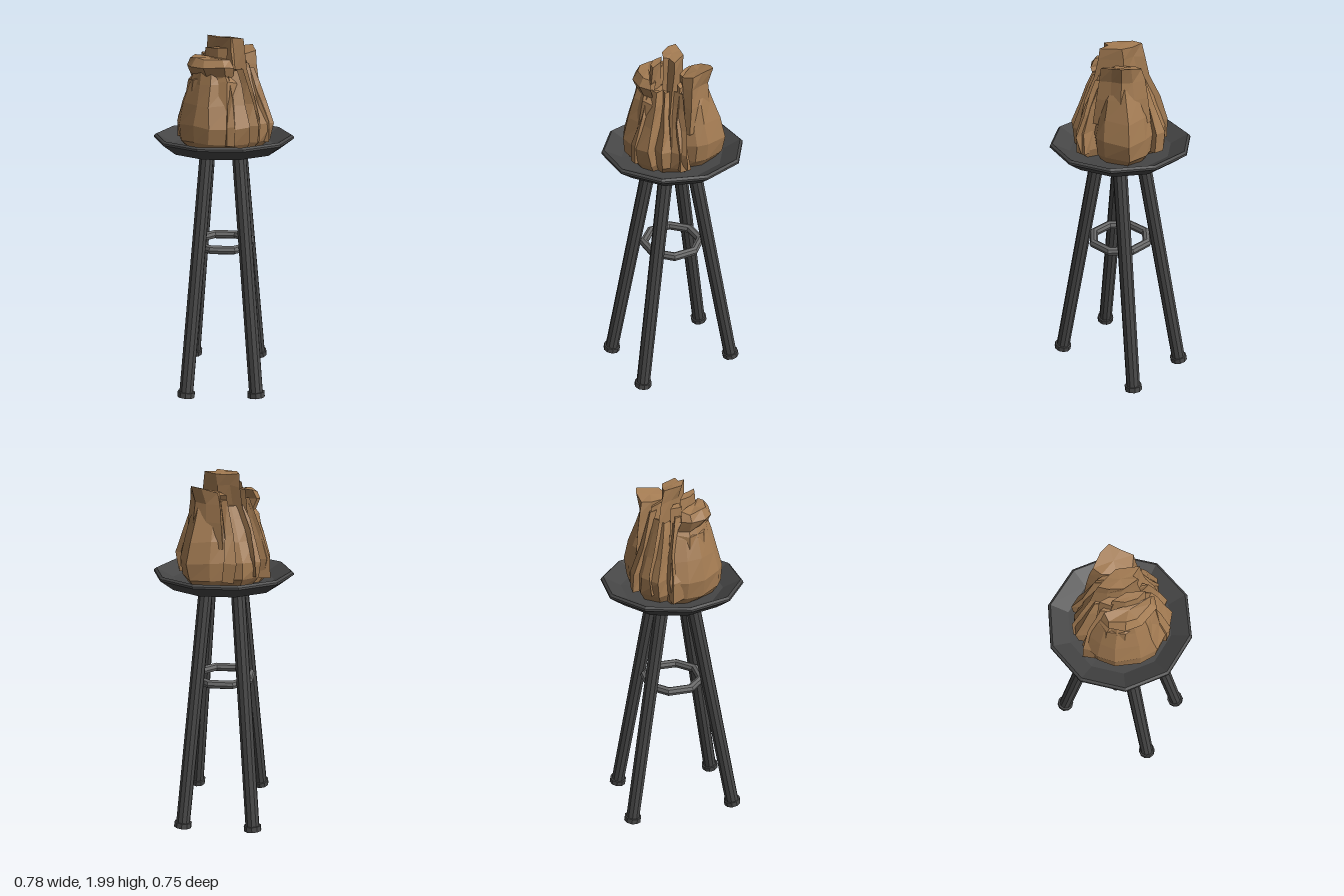
import * as THREE from 'three';

const mat = (color) => new THREE.MeshStandardMaterial({ color, flatShading: true, side: THREE.DoubleSide });
const dark = mat(0x464646), grey = mat(0x686868), paper = mat(0xa37b52);

// Small repeatable noise in -1..1, for crumpling
const noise = (n) => {
  const s = Math.sin(n * 127.1 + 3.7) * 43758.5453;
  return (s - Math.floor(s)) * 2 - 1;
};

function add(parent, name, geometry, material) {
  const mesh = new THREE.Mesh(geometry, material);
  mesh.name = name;
  parent.add(mesh);
  return mesh;
}

// Closed loft: one outline [x, z], repeated over rows [y, scaleX, scaleZ, shiftX, shiftZ].
// shape(x, z, row, index) may move each point and returns [x, y, z].
function loft(outline, rows, shape) {
  const n = outline.length, pos = [], idx = [];
  rows.forEach(([y, sx, sz, dx = 0, dz = 0], r) => outline.forEach(([x, z], i) => {
    pos.push(...shape(x * sx + dx, y, z * sz + dz, r, i));
  }));
  for (let r = 0; r < rows.length - 1; r++) {
    for (let i = 0; i < n; i++) {
      const a = r * n + i, b = r * n + (i + 1) % n;
      idx.push(a, a + n, b, b, a + n, b + n);
    }
  }
  // End caps meet at the middle of the first and last rings
  [0, rows.length - 1].forEach((r) => {
    const c = pos.length / 3, m = [0, 0, 0];
    for (let i = 0; i < n; i++) for (let k = 0; k < 3; k++) m[k] += pos[(r * n + i) * 3 + k] / n;
    pos.push(...m);
    for (let i = 0; i < n; i++) {
      const a = r * n + i, b = r * n + (i + 1) % n;
      if (r) idx.push(a, c, b); else idx.push(b, c, a);
    }
  });
  const g = new THREE.BufferGeometry();
  g.setAttribute('position', new THREE.Float32BufferAttribute(pos, 3));
  g.setIndex(idx);
  g.computeVertexNormals();
  return g;
}

// Straight bar between two points
function bar(parent, name, from, to, radius, sides, material) {
  const dir = to.clone().sub(from);
  const mesh = add(parent, name, new THREE.CylinderGeometry(radius, radius, dir.length(), sides), material);
  mesh.position.copy(from).addScaledVector(dir, 0.5);
  mesh.quaternion.setFromUnitVectors(new THREE.Vector3(0, 1, 0), dir.normalize());
  return mesh;
}

function createStand() {
  const stand = new THREE.Group();
  stand.name = 'stand';

  // Ten-sided dish
  const profile = [[0, 1.33], [0.13, 1.335], [0.22, 1.365], [0.31, 1.37], [0.39, 1.43], [0.388, 1.44],
    [0.375, 1.45], [0.28, 1.4], [0, 1.385]].map(([x, y]) => new THREE.Vector2(x, y));
  const dish = add(stand, 'dish', new THREE.LatheGeometry(profile, 10, Math.PI / 2), dark);
  dish.position.z = -0.005;

  // Splayed legs, each with a collar foot
  [[-0.195, 0.32], [0.2, 0.3], [-0.2, -0.3], [0.2, -0.3]].forEach(([x, z]) => {
    const bottom = new THREE.Vector3(x, 0.011, z);
    const top = new THREE.Vector3(Math.sign(x) * 0.088, 1.36, Math.sign(z) * 0.08);
    bar(stand, 'leg', bottom, top, 0.04, 10, dark);
    bar(stand, 'foot', bottom, bottom.clone().lerp(top, 0.022), 0.05, 10, dark);
  });

  // Eight-sided brace ring
  const ring = add(stand, 'braceRing', new THREE.TorusGeometry(0.163, 0.025, 8, 8), grey);
  ring.rotation.set(Math.PI / 2, 0, Math.PI / 8);
  ring.position.y = 0.825;
  return stand;
}

function createSack() {
  // Local x runs across the two pouches, local z along the pinched crest
  const sack = new THREE.Group();
  sack.name = 'sack';
  sack.rotation.y = Math.PI / 4;

  const crumple = (amount, seed) => (x, y, z, r, i) => {
    const n = seed + r * 31 + i * 7;
    return [x + noise(n) * amount, y + noise(n + 0.3) * amount, z + noise(n + 0.6) * amount];
  };

  // Main bag: irregular outline, pleated deeper towards the neck
  const footprint = [[0.27, 0.055], [0.215, 0.12], [0.2, 0.17], [0.15, 0.18], [0.155, 0.215], [0.08, 0.265],
    [-0.07, 0.262], [-0.15, 0.22], [-0.24, 0.11], [-0.267, 0.01], [-0.24, -0.08], [-0.2, -0.09],
    [-0.21, -0.14], [-0.135, -0.225], [-0.04, -0.205], [0.05, -0.245], [0.17, -0.23], [0.23, -0.1],
    [0.215, -0.03], [0.18, 0.02]].map(([x, z]) => [(x - z) * Math.SQRT1_2, (x + z) * Math.SQRT1_2]);
  const bagRows = [[1.385, 0.78, 0.78], [1.44, 0.96, 0.95], [1.53, 1, 1], [1.64, 0.9, 0.85],
    [1.75, 0.76, 0.68], [1.82, 0.68, 0.55], [1.8, 0.4, 0.3]];
  const bagCrumple = crumple(0.007, 1);
  add(sack, 'bag', loft(footprint, bagRows, (x, y, z, r, i) => {
    const side = Math.abs(z) / Math.hypot(x, z);
    const k = i % 2 ? 1 - 0.045 * r * side * side : 1;
    return bagCrumple(x * k, y, z * k, r, i);
  }), paper);

  // Central crest, its pleats running down both flanks
  const crest = [[0.065, -0.01], [0.05, 0.1], [0.01, 0.07], [-0.02, 0.075], [-0.045, 0], [-0.035, -0.06],
    [-0.01, -0.117], [0.02, -0.07]];
  add(sack, 'crest', loft(crest, [[1.45, 1.3, 2.2], [1.56, 1.2, 2.2], [1.7, 1, 1.8], [1.82, 0.85, 1.35],
    [1.92, 0.9, 1.1], [1.985, 1, 1]], crumple(0.008, 40)), paper);

  // Rear flap, flaring outwards to a blunt point
  const rear = [[0.1, 0], [0.06, 0.05], [0.02, 0.115], [-0.05, 0.09], [-0.06, 0], [-0.05, -0.09],
    [0, -0.125], [0.06, -0.06]];
  add(sack, 'rearFlap', loft(rear, [[1.6, 0.9, 1.25, 0.13], [1.74, 0.8, 1.15, 0.125],
    [1.84, 0.7, 1, 0.125], [1.9, 0.95, 0.85, 0.13]],
  (x, y, z, r, i) => crumple(0.006, 70)(x, y + (r === 3 ? (x - 0.12) * 0.25 : 0), z, r, i)), paper);

  // Front lip, a curled crescent overhanging the front pouch
  const lip = [[0.04, 0], [0.06, 0.09], [0.09, 0.16], [0.03, 0.15], [-0.035, 0.06], [-0.045, -0.03],
    [-0.02, -0.11], [0.04, -0.13], [0.05, -0.07]];
  add(sack, 'frontLip', loft(lip, [[1.62, 1.2, 1.1, -0.16], [1.76, 1, 1, -0.148], [1.785, 0.8, 0.9, -0.135],
    [1.84, 1, 0.95, -0.16], [1.885, 0.75, 0.8, -0.14]], crumple(0.009, 110)), paper);

  // Small inner folds filling the gaps beside the crest
  [[-0.085, 0.02, 1.93, 0.8], [0.075, -0.02, 1.88, 0.9], [-0.06, -0.06, 1.9, 0.6]].forEach(([x, z, top, s], k) => {
    const fold = [[0.03, 0], [0.01, 0.1], [-0.02, 0.05], [-0.03, -0.02], [0, -0.1]];
    add(sack, 'innerFold', loft(fold, [[1.6, 1.6, 1.7 * s, x, z], [1.78, 1, 1.2 * s, x, z],
      [top, 0.8, s, x, z]], crumple(0.01, 150 + k * 20)), paper);
  });

  // Creased pleats on the two pinched flanks
  [-1, 1].forEach((s) => [-0.13, 0.12].forEach((x, k) => {
    const pleat = [[0.035, 0], [0, 0.045], [-0.03, 0.01], [-0.01, -0.04]];
    add(sack, 'pleat', loft(pleat, [[1.43, 1.1, 1, x, s * 0.19], [1.54, 1, 1, x * 0.95, s * 0.19],
      [1.68, 0.8, 0.9, x * 0.75, s * 0.15], [1.85, 0.6, 0.7, x * 0.6, s * 0.085]],
    crumple(0.008, 220 + s * 9 + k * 13)), paper);
  }));
  return sack;
}

export function createModel() {
  const model = new THREE.Group();
  model.name = 'sackOnStool';
  model.add(createStand(), createSack());
  return model;
}
